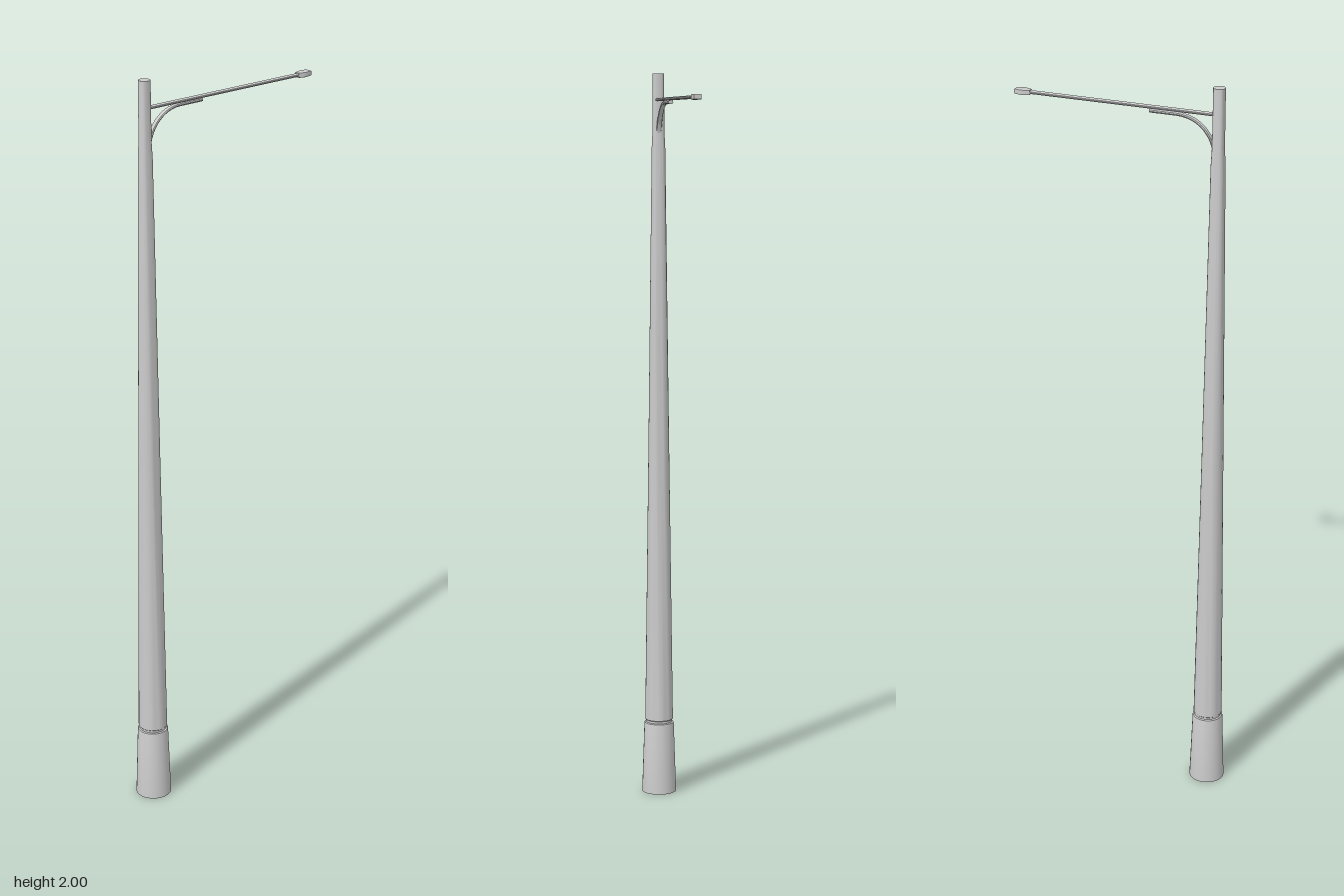
import * as THREE from 'three';
import { toCreasedNormals } from 'three/addons/utils/BufferGeometryUtils.js';

const POLE_X = -0.248;
const ARM_Y = 1.93;
const ARM_Z = 0.003;

export function createModel() {
  const group = new THREE.Group();
  const material = new THREE.MeshStandardMaterial({ color: 0xcccccc });

  function add(name, geometry, x, y, z) {
    const mesh = new THREE.Mesh(toCreasedNormals(geometry, 0.6), material);
    mesh.name = name;
    mesh.position.set(x, y, z);
    group.add(mesh);
    return mesh;
  }

  const lathe = (points) =>
    new THREE.LatheGeometry(points.map(([r, y]) => new THREE.Vector2(r, y)), 24);

  // Flared base sleeve with a narrow groove under the shaft
  add('base', lathe([
    [0, 0], [0.048, 0], [0.0415, 0.194], [0.0405, 0.199], [0.037, 0.201], [0.037, 0.207],
  ]), POLE_X, 0, 0);

  // Tapered shaft with a straight top section
  add('pole', lathe([
    [0.037, 0.207], [0.039, 0.209], [0.0285, 1], [0.0185, 1.8], [0.016, 1.85], [0.0155, 2], [0, 2],
  ]), POLE_X, 0, 0);

  // Horizontal arm, slightly flattened
  const arm = new THREE.CylinderGeometry(0.0075, 0.0075, 0.505, 12);
  arm.rotateZ(Math.PI / 2);
  arm.scale(1, 0.6, 1);
  add('arm', arm, 0.0125, ARM_Y, ARM_Z);

  // Curved brace that sweeps up from the pole and runs under the arm
  const path = new THREE.CurvePath();
  const v = (x, y) => new THREE.Vector3(x, y, 0);
  path.add(new THREE.CubicBezierCurve3(v(-0.24, 1.82), v(-0.235, 1.88), v(-0.195, 1.921), v(-0.135, 1.921)));
  path.add(new THREE.LineCurve3(v(-0.135, 1.921), v(-0.067, 1.921)));
  const brace = new THREE.TubeGeometry(path, 28, 0.005, 10);
  brace.scale(1, 1, 1.4);
  add('brace', brace, 0, 0, 0.001);
  const cap = new THREE.CircleGeometry(0.005, 10);
  cap.rotateY(Math.PI / 2);
  cap.scale(1, 1, 1.4);
  add('braceEnd', cap, -0.067, 1.921, 0.001);

  // Lamp head: widest near the middle, blunt at the tip
  const outline = new THREE.Shape([
    [0.255, -0.007], [0.268, -0.012], [0.276, -0.0135], [0.284, -0.0125], [0.297, -0.0095],
    [0.297, 0.0095], [0.284, 0.0125], [0.276, 0.0135], [0.268, 0.012], [0.255, 0.007],
  ].map(([x, z]) => new THREE.Vector2(x, z)));
  const head = new THREE.ExtrudeGeometry(outline, {
    depth: 0.008, bevelThickness: 0.003, bevelSize: 0.003, bevelOffset: -0.003, bevelSegments: 2,
  });
  head.translate(0, 0, -0.004);
  head.rotateX(-Math.PI / 2);
  add('lampHead', head, 0, ARM_Y, ARM_Z);

  return group;
}
